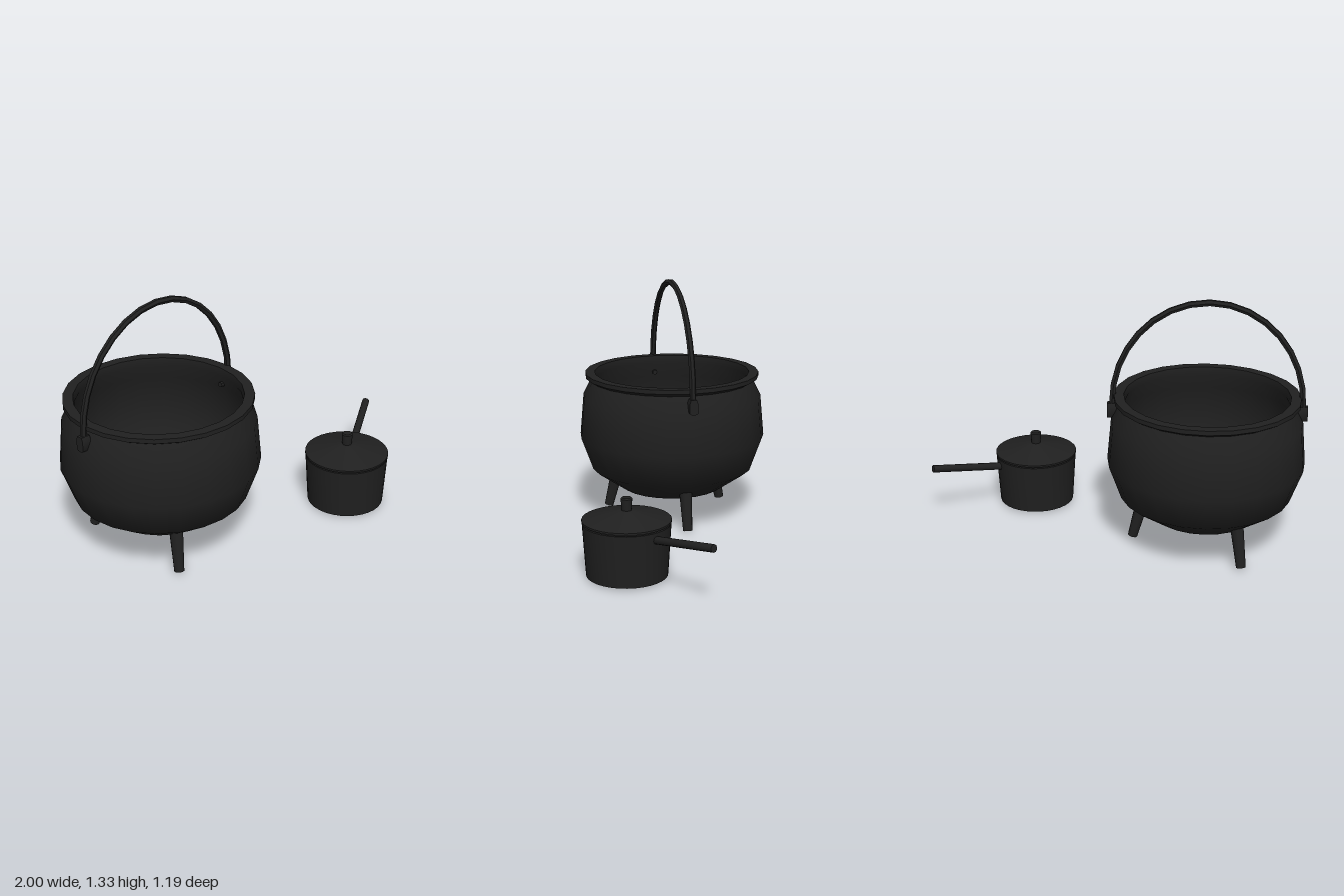
import * as THREE from 'three';
import { toCreasedNormals } from 'three/addons/utils/BufferGeometryUtils.js';

const iron = new THREE.MeshStandardMaterial({ color: 0x202020 });
iron.name = 'black iron';

function add(parent, name, geometry, crease = 0.7) {
  const mesh = new THREE.Mesh(toCreasedNormals(geometry, crease), iron);
  mesh.name = name;
  parent.add(mesh);
  return mesh;
}

const lathe = (points, sides) =>
  new THREE.LatheGeometry(points.map(([r, y]) => new THREE.Vector2(r, y)), sides);

// Tapered round bar between two points
function bar(parent, name, from, to, r0, r1, sides) {
  const a = new THREE.Vector3(...from), b = new THREE.Vector3(...to);
  const dir = b.clone().sub(a);
  const mesh = add(parent, name, new THREE.CylinderGeometry(r1, r0, dir.length(), sides), 0.9);
  mesh.position.copy(a).add(b).multiplyScalar(0.5);
  mesh.quaternion.setFromUnitVectors(new THREE.Vector3(0, 1, 0), dir.normalize());
  return mesh;
}

function createCauldron() {
  const cauldron = new THREE.Group();
  cauldron.name = 'cauldron';

  // Hollow body: outside going up, flared rim, inside going down
  add(cauldron, 'cauldronBody', lathe([
    [0, 0.15], [0.28, 0.163], [0.45, 0.28], [0.515, 0.46], [0.495, 0.69], [0.45, 0.778],
    [0.4825, 0.797], [0.4825, 0.82], [0.43, 0.82],
    [0.425, 0.778], [0.465, 0.69], [0.485, 0.46], [0.425, 0.295], [0.265, 0.19], [0, 0.178],
  ], 24));

  // Three splayed legs
  for (let i = 0; i < 3; i++) {
    const a = (i * Math.PI * 2) / 3, c = Math.cos(a), s = Math.sin(a);
    bar(cauldron, 'cauldronLeg', [0.38 * c, 0.008, 0.38 * s], [0.325 * c, 0.225, 0.325 * s], 0.026, 0.036, 10);
  }

  // Arched carrying handle
  const arch = [];
  for (let i = 0; i <= 32; i++) {
    const a = (i * Math.PI) / 32;
    arch.push(new THREE.Vector3(0.49 * Math.cos(a), 0.77 + 0.545 * Math.sin(a), 0));
  }
  add(cauldron, 'carryingHandle',
    new THREE.TubeGeometry(new THREE.CatmullRomCurve3(arch), 16, 0.017, 6), 0.5);

  // Lugs holding the handle, with pins through the wall
  const lug = new THREE.Shape();
  lug.moveTo(0.016, 0.08);
  lug.lineTo(-0.016, 0.08);
  lug.lineTo(-0.023, 0.06);
  lug.lineTo(-0.023, 0.01);
  lug.quadraticCurveTo(-0.02, 0, 0, 0);
  lug.quadraticCurveTo(0.02, 0, 0.023, 0.01);
  lug.lineTo(0.023, 0.06);
  for (const side of [-1, 1]) {
    const g = new THREE.ExtrudeGeometry(lug, { depth: 0.05, bevelEnabled: false, curveSegments: 4 });
    g.translate(0, 0, -0.025).rotateY(Math.PI / 2);
    add(cauldron, 'handleLug', g).position.set(side * 0.49, 0.69, 0);
    bar(cauldron, 'lugPin', [side * 0.43, 0.72, 0], [side * 0.49, 0.72, 0], 0.014, 0.014, 8);
  }
  return cauldron;
}

function createSaucepan() {
  const pan = new THREE.Group();
  pan.name = 'saucepan';

  // Hollow tapered pan
  add(pan, 'panBody', lathe([
    [0, 0.01], [0.205, 0.01], [0.222, 0.279], [0.208, 0.279], [0.192, 0.025], [0, 0.025],
  ], 32));

  // Shallow conical lid, set just above the pan
  add(pan, 'panLid', lathe([
    [0, 0.287], [0.224, 0.287], [0.224, 0.297], [0.035, 0.344], [0, 0.344],
  ], 32), 0.2);
  add(pan, 'lidKnob', lathe([
    [0.025, 0.335], [0.03, 0.402], [0.024, 0.408], [0, 0.408],
  ], 12));

  // Straight handle rising outwards
  const c = Math.cos(Math.PI / 6), s = -Math.sin(Math.PI / 6);
  bar(pan, 'panHandle', [0.21 * c, 0.24, 0.21 * s], [0.61 * c, 0.302, 0.61 * s], 0.02, 0.02, 10);
  return pan;
}

export function createModel() {
  const model = new THREE.Group();
  model.name = 'cookingPots';
  const cauldron = createCauldron();
  cauldron.position.set(-0.485, 0, -0.08);
  const pan = createSaucepan();
  pan.position.set(0.46, 0, 0.37);
  model.add(cauldron, pan);
  return model;
}
